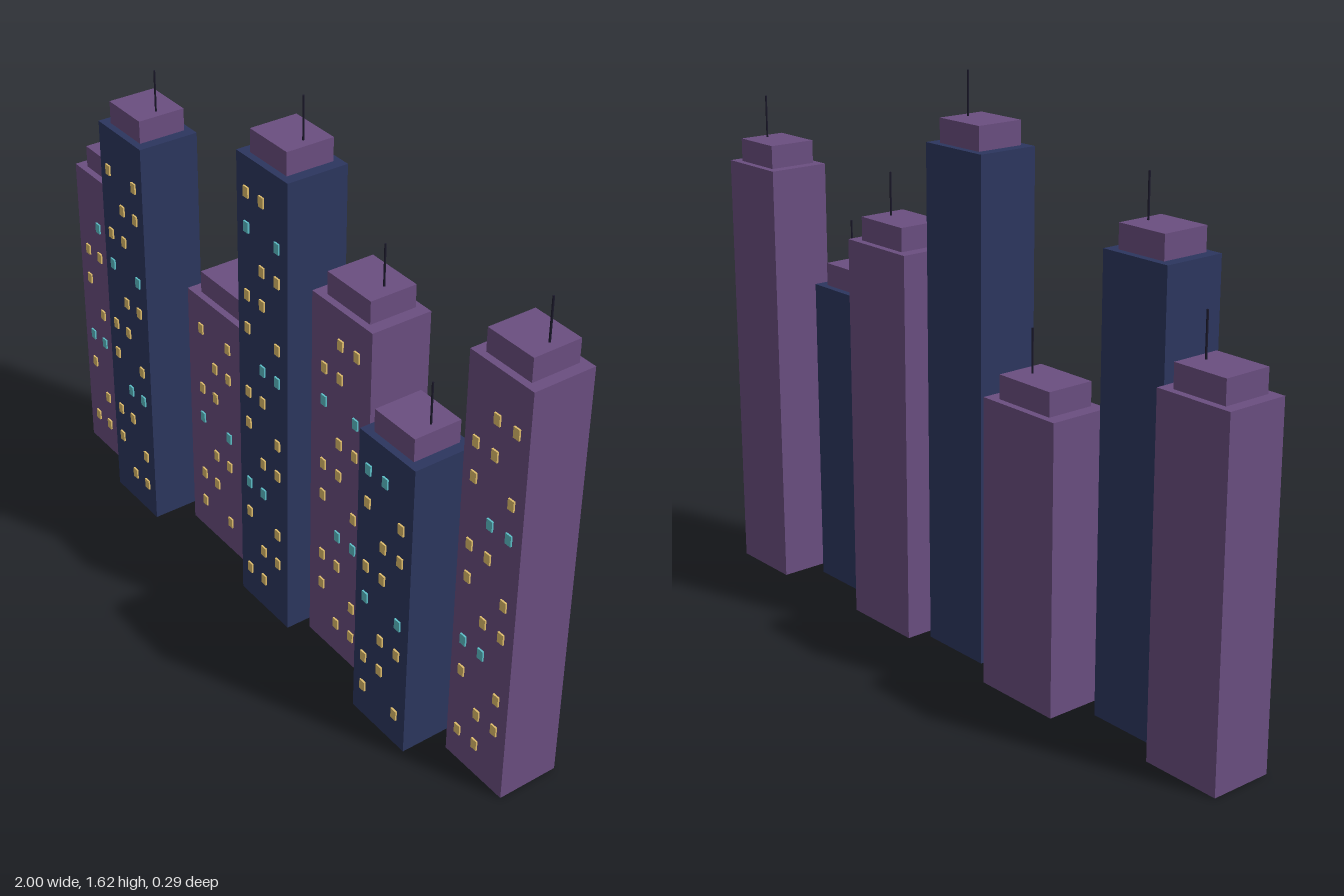
import * as THREE from 'three';

const mat = (name, color) => {
  const m = new THREE.MeshStandardMaterial({ color });
  m.name = name;
  return m;
};

// x centre, z centre, width, height, wall colour
const TOWERS = [
  [-0.882, -0.02, 0.236, 0.985, 'purple'],
  [-0.61, 0.049, 0.22, 1.26, 'navy'],
  [-0.305, -0.053, 0.272, 0.817, 'purple'],
  [0.036, 0.015, 0.226, 1.43, 'navy'],
  [0.307, -0.039, 0.252, 1.123, 'purple'],
  [0.615, 0.049, 0.22, 0.919, 'navy'],
  [0.889, -0.053, 0.222, 1.26, 'purple'],
];
const DEPTH = 0.184, ROOF_H = 0.067, ROOF_D = 0.143, MAST_H = 0.122;
const ROW = 0.1022, COLUMN = 0.068;

export function createModel() {
  const mats = {
    purple: mat('purple', 0x6a4e80),
    navy: mat('navy', 0x2c365f),
    yellow: mat('warm window', 0xdfbd6c),
    teal: mat('cool window', 0x5cbfc8),
    mast: mat('mast', 0x1c1a2c),
  };
  const paneGeo = new THREE.BoxGeometry(0.021, 0.031, 0.008);
  const mastGeo = new THREE.CylinderGeometry(0.003, 0.003, MAST_H, 6);

  const skyline = new THREE.Group();
  skyline.name = 'skyline';

  TOWERS.forEach(([x, z, width, height, wall], i) => {
    const tower = new THREE.Group();
    tower.name = `tower${i + 1}`;
    tower.position.set(x, 0, z);
    skyline.add(tower);

    const add = (name, geo, material, px, py, pz) => {
      const mesh = new THREE.Mesh(geo, material);
      mesh.name = name;
      mesh.position.set(px, py, pz);
      tower.add(mesh);
    };

    // Body, stepped roof block and off-centre mast
    add('body', new THREE.BoxGeometry(width, height, DEPTH), mats[wall], 0, height / 2, 0);
    add('roofBlock', new THREE.BoxGeometry(width * 0.71, ROOF_H, ROOF_D), mats.purple,
      0, height + ROOF_H / 2, 0);
    add('mast', mastGeo, mats.mast, 0.05, height + ROOF_H + MAST_H / 2, 0);

    // Windows: one column in three stays dark, every fourth row is cool
    for (let row = 0; 0.103 + row * ROW < height - 0.08; row++) {
      for (let col = 0; col < 3; col++) {
        if (col === (2 + i + row) % 3) continue;
        add('window', paneGeo, row % 4 === 3 ? mats.teal : mats.yellow,
          (col - 1) * COLUMN, 0.103 + row * ROW, DEPTH / 2 + 0.001);
      }
    }
  });
  return skyline;
}
